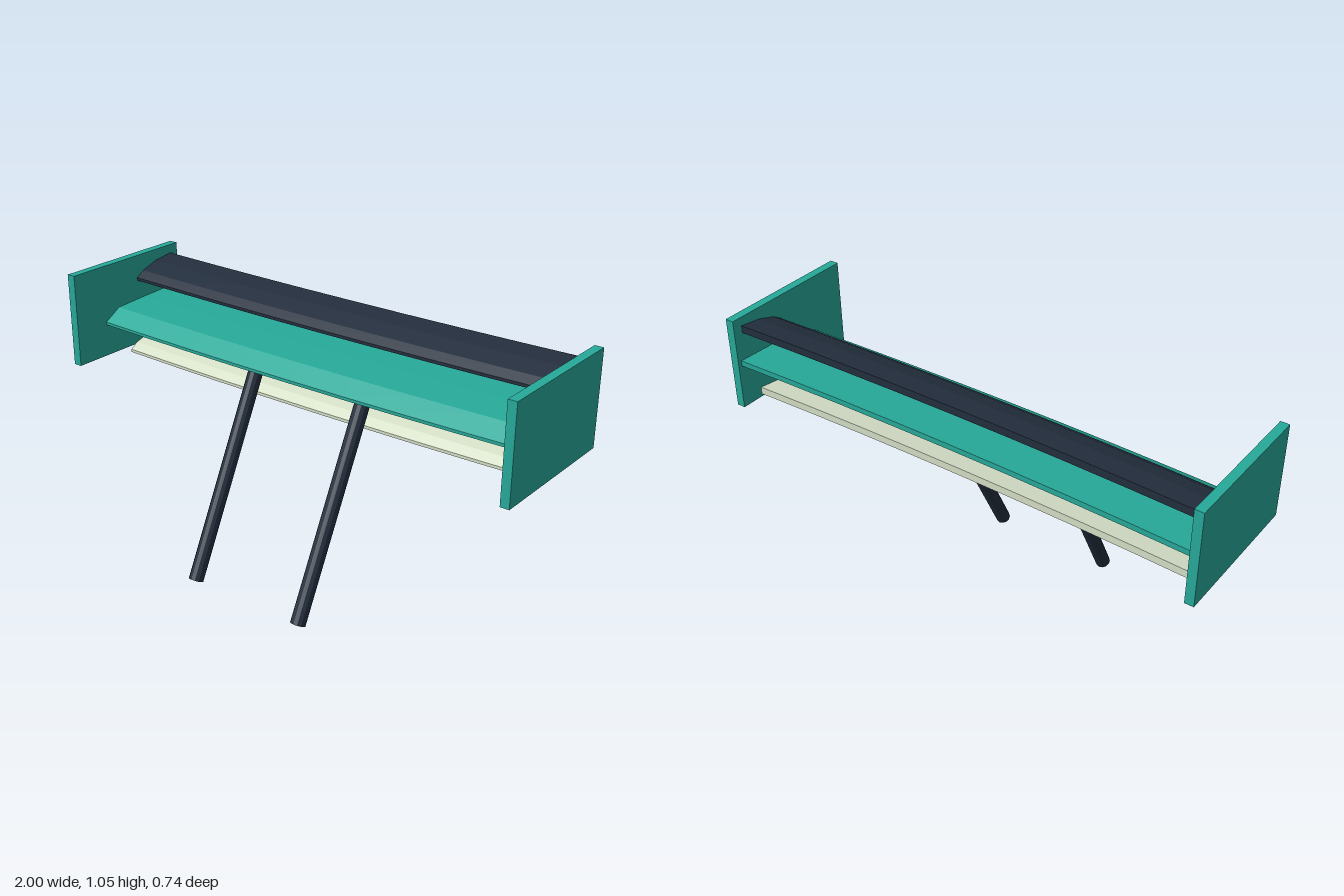
import * as THREE from 'three';

const SPAN = 1.93;

// Aerofoil bar: side profile of [z, y] points run along x, bowed forward at mid-span
function wing(name, profile, material) {
  const shape = new THREE.Shape(profile.map(([z, y]) => new THREE.Vector2(-z, y)));
  const geo = new THREE.ExtrudeGeometry(shape, { depth: SPAN, steps: 8, bevelEnabled: false });
  geo.translate(0, 0, -SPAN / 2).rotateY(Math.PI / 2);
  const p = geo.attributes.position;
  for (let i = 0; i < p.count; i++) {
    const t = p.getX(i) / (SPAN / 2);
    p.setZ(i, p.getZ(i) + 0.02 * (1 - t * t));
  }
  geo.computeVertexNormals();
  const mesh = new THREE.Mesh(geo, material);
  mesh.name = name;
  return mesh;
}

// Profile from the leading edge: blunt nose, steep front, flatter top, thick tail.
// crease, mid, tail and under are heights above the base of the nose.
function profile(z, y, chord, crease, mid, top, tail) {
  return [
    [z, y],
    [z - chord * 0.6, y + 0.009],
    [z - chord, y + tail],
    [z - chord, y + top],
    [z - chord * 0.55, y + mid],
    [z - chord * 0.18, y + crease],
    [z, y + 0.012],
  ];
}

export function createModel() {
  const group = new THREE.Group();
  const mat = (name, color) => {
    const m = new THREE.MeshStandardMaterial({ color, flatShading: true });
    m.name = name;
    return m;
  };
  const teal = mat('teal', 0x26a999);
  const dark = mat('darkNavy', 0x232e3d);
  const cream = mat('paleCream', 0xd4dec6);

  // Three stacked wing elements
  group.add(
    wing('upperFlap', profile(-0.13, 0.95, 0.2, 0.034, 0.058, 0.07, 0.04), dark),
    wing('mainWing', profile(0.056, 0.81, 0.41, 0.055, 0.063, 0.07, 0.048), teal),
    wing('lowerBeam', profile(-0.073, 0.653, 0.2, 0.034, 0.056, 0.068, 0.038), cream),
  );

  for (const side of [-1, 1]) {
    // Flat end plates
    const plate = new THREE.Mesh(new THREE.BoxGeometry(0.035, 0.375, 0.58), teal);
    plate.position.set(side * 0.9825, 0.8675, -0.08);
    plate.name = side > 0 ? 'leftEndPlate' : 'rightEndPlate';
    group.add(plate);

    // Slanted struts, foot forward and head inside the main wing
    const foot = new THREE.Vector3(side * 0.25, 0.014, 0.344);
    const head = new THREE.Vector3(side * 0.25, 0.83, -0.066);
    const axis = head.clone().sub(foot);
    const strut = new THREE.Mesh(new THREE.CylinderGeometry(0.029, 0.029, axis.length(), 12), dark);
    strut.position.copy(foot).add(head).multiplyScalar(0.5);
    strut.quaternion.setFromUnitVectors(new THREE.Vector3(0, 1, 0), axis.normalize());
    strut.name = side > 0 ? 'leftStrut' : 'rightStrut';
    group.add(strut);
  }
  return group;
}
